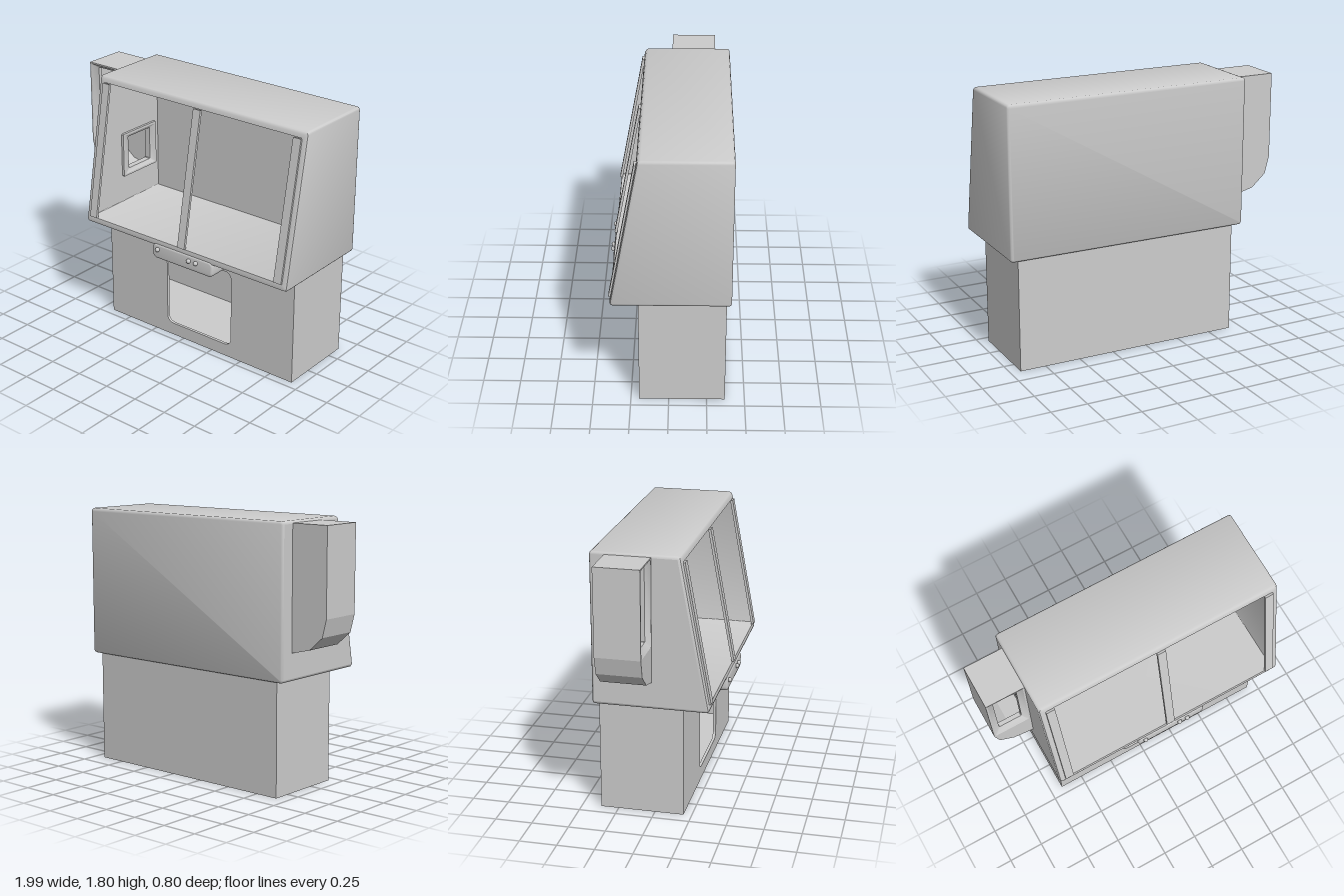
import * as THREE from 'three';
import { toCreasedNormals } from 'three/addons/utils/BufferGeometryUtils.js';

const mat = new THREE.MeshStandardMaterial({ color: 0xcccccc, side: THREE.DoubleSide });

function add(group, name, geo, x = 0, y = 0, z = 0) {
  const mesh = new THREE.Mesh(geo, mat);
  mesh.name = name;
  mesh.position.set(x, y, z);
  group.add(mesh);
  return mesh;
}

const box = (x0, y0, z0, x1, y1, z1) =>
  new THREE.BoxGeometry(x1 - x0, y1 - y0, z1 - z0)
    .translate((x0 + x1) / 2, (y0 + y1) / 2, (z0 + z1) / 2);

// Counter-clockwise rounded rectangle: top right, top left, bottom left, bottom right
function roundRect(x0, y0, x1, y1, r, n = 3) {
  const pts = [];
  [[x1 - r, y1 - r], [x0 + r, y1 - r], [x0 + r, y0 + r], [x1 - r, y0 + r]].forEach(([cx, cy], k) => {
    for (let i = 0; i <= n; i++) {
      const a = (k + i / n) * Math.PI / 2;
      pts.push(new THREE.Vector2(cx + r * Math.cos(a), cy + r * Math.sin(a)));
    }
  });
  return pts;
}

const ring = (pts, z) =>
  pts.map(p => new THREE.Vector3(p.x, p.y, typeof z === 'function' ? z(p.y) : z));

// Skin over a series of rings, optionally capped at both ends
function loft(rings, caps = false, skip = () => false) {
  const pos = [], n = rings[0].length;
  const tri = (...v) => v.forEach(p => pos.push(p.x, p.y, p.z));
  for (let i = 0; i < rings.length - 1; i++) {
    for (let j = 0; j < n; j++) {
      if (skip(i, j)) continue;
      const k = (j + 1) % n, A = rings[i], B = rings[i + 1];
      tri(A[j], A[k], B[k]);
      tri(A[j], B[k], B[j]);
    }
  }
  if (caps) {
    const first = rings[0], last = rings[rings.length - 1];
    for (let j = 1; j < n - 1; j++) {
      tri(first[0], first[j + 1], first[j]);
      tri(last[0], last[j], last[j + 1]);
    }
  }
  const geo = new THREE.BufferGeometry();
  geo.setAttribute('position', new THREE.Float32BufferAttribute(pos, 3));
  return toCreasedNormals(geo, 0.7);
}

function plate(pts, z0, z1, hole) {
  const shape = new THREE.Shape(pts);
  if (hole) shape.holes.push(new THREE.Path(hole));
  return new THREE.ExtrudeGeometry(shape, { depth: z1 - z0, bevelEnabled: false }).translate(0, 0, z0);
}

// Sloped front plane of the hood
const SLOPE = 0.184;
const front = y => 0.187 + (1.8 - y) * SLOPE;

function buildHood(root) {
  const hood = new THREE.Group();
  hood.name = 'hood';
  root.add(hood);

  // Hollow rounded shell, open at the front
  const n = 3, left = 2 * n + 1;
  const rect = (d, r) => roundRect(-0.73 + d, 0.77 + d, 0.99 - d, 1.8 - d, r, n);
  const rings = [
    ring(rect(0.015, 0.01), -0.4),
    ring(rect(0.005, 0.018), -0.395),
    ring(rect(0, 0.02), -0.385),
    ring(rect(0, 0.02), y => front(y) - 0.022),
    ring(rect(0.006, 0.018), y => front(y) - 0.006),
    ring(rect(0.02, 0.012), front),
    ring(rect(0.045, 0.004), front),
    ring(rect(0.045, 0.004), -0.35),
  ];
  add(hood, 'hoodShell', loft(rings, true, (i, j) => j === left && (i === 2 || i === 6)));

  // Two skins of the left-hand wall, pierced by the side port
  const port = roundRect(0.03, 1.05, 0.26, 1.29, 0.004, 1);
  for (const i of [2, 6]) {
    const [a, b, c, d] = [rings[i][left], rings[i][left + 1], rings[i + 1][left + 1], rings[i + 1][left]];
    const shape = new THREE.Shape([a, b, c, d].map(p => new THREE.Vector2(-p.z, p.y)));
    shape.holes.push(new THREE.Path(port));
    add(hood, 'portWall', new THREE.ShapeGeometry(shape).rotateY(Math.PI / 2), a.x, 0, 0);
  }

  // Raised frame and tunnel of the port
  const outer = roundRect(-0.04, 1.01, 0.31, 1.33, 0.006, 1);
  const rim = roundRect(-0.025, 1.025, 0.295, 1.315, 0.006, 1);
  add(hood, 'portFrame', loft([
    ring(outer, -0.686), ring(outer, -0.667), ring(rim, -0.665), ring(port, -0.685), ring(port, -0.73),
  ]).rotateY(Math.PI / 2));

  // Sloping bars across the opening
  for (const x of [-0.66, 0.13, 0.92]) {
    const bar = add(hood, 'frontBar', new THREE.BoxGeometry(0.06, 0.95, 0.018), x, 1.285, front(1.285) + 0.004);
    bar.rotation.x = -Math.atan(SLOPE);
  }
}

function buildChute(root) {
  const chute = new THREE.Group();
  chute.name = 'sideChute';
  root.add(chute);
  const v = list => list.map(([x, y]) => new THREE.Vector2(x, y));
  const outline = v([[-0.73, 1.785], [-1, 1.785], [-1, 1.2], [-0.97, 1.08], [-0.87, 0.99], [-0.73, 0.955]]);
  const inside = v([[-0.73, 0.975], [-0.86, 1.01], [-0.955, 1.09], [-0.98, 1.2], [-0.98, 1.765], [-0.73, 1.765]]);
  const mouth = roundRect(-0.988, 1.2, -0.742, 1.775, 0.006, 1);
  const throat = roundRect(-0.945, 1.245, -0.78, 1.75, 0.004, 1);

  add(chute, 'chuteBack', plate(outline, -0.3, -0.28));
  add(chute, 'chuteWall', plate([...outline, ...inside], -0.28, -0.02));
  add(chute, 'chuteFront', plate(outline, -0.02, 0, mouth));
  // Sloped bezel around the mouth
  add(chute, 'chuteBezel', loft([ring(mouth, 0), ring(throat, -0.03), ring(throat, -0.06)]));
}

function buildBase(root) {
  const base = new THREE.Group();
  base.name = 'base';
  root.add(base);
  const x0 = -0.665, x1 = 0.93, z0 = -0.37, z1 = 0.195, t = 0.02, top = 0.775;
  const wall = [[x0, 0], [x1, 0], [x1, top], [x0, top]].map(([x, y]) => new THREE.Vector2(x, y));
  add(base, 'frontWall', plate(wall, z1 - t, z1, roundRect(-0.145, 0.09, 0.415, 0.65, 0.05, 6)));
  add(base, 'backWall', box(x0, 0, z0, x1, top, z0 + t));
  add(base, 'sideWall', box(x0, 0, z0 + t, x0 + t, top, z1 - t));
  add(base, 'sideWall', box(x1 - t, 0, z0 + t, x1, top, z1 - t));
  add(base, 'baseFloor', box(x0 + t, 0.035, z0 + t, x1 - t, 0.055, z1 - t));
}

function buildControls(root) {
  const controls = new THREE.Group();
  controls.name = 'controls';
  root.add(controls);
  // Panel with rounded lower corners tucked under the hood lip
  const shape = new THREE.Shape(roundRect(-0.105, 0.695, 0.38, 0.775, 0.018, 4));
  const panel = new THREE.ExtrudeGeometry(shape, {
    depth: 0.17, bevelThickness: 0.015, bevelSize: 0.015, bevelSegments: 3,
  }).translate(0, 0, 0.193);
  add(controls, 'controlPanel', toCreasedNormals(panel, 0.7));
  for (const x of [-0.07, 0.2, 0.26]) {
    add(controls, 'knob', new THREE.SphereGeometry(0.016, 16, 12), x, 0.75, 0.384);
  }
}

export function createModel() {
  const root = new THREE.Group();
  root.name = 'cabinet';
  buildHood(root);
  buildChute(root);
  buildBase(root);
  buildControls(root);
  return root;
}
